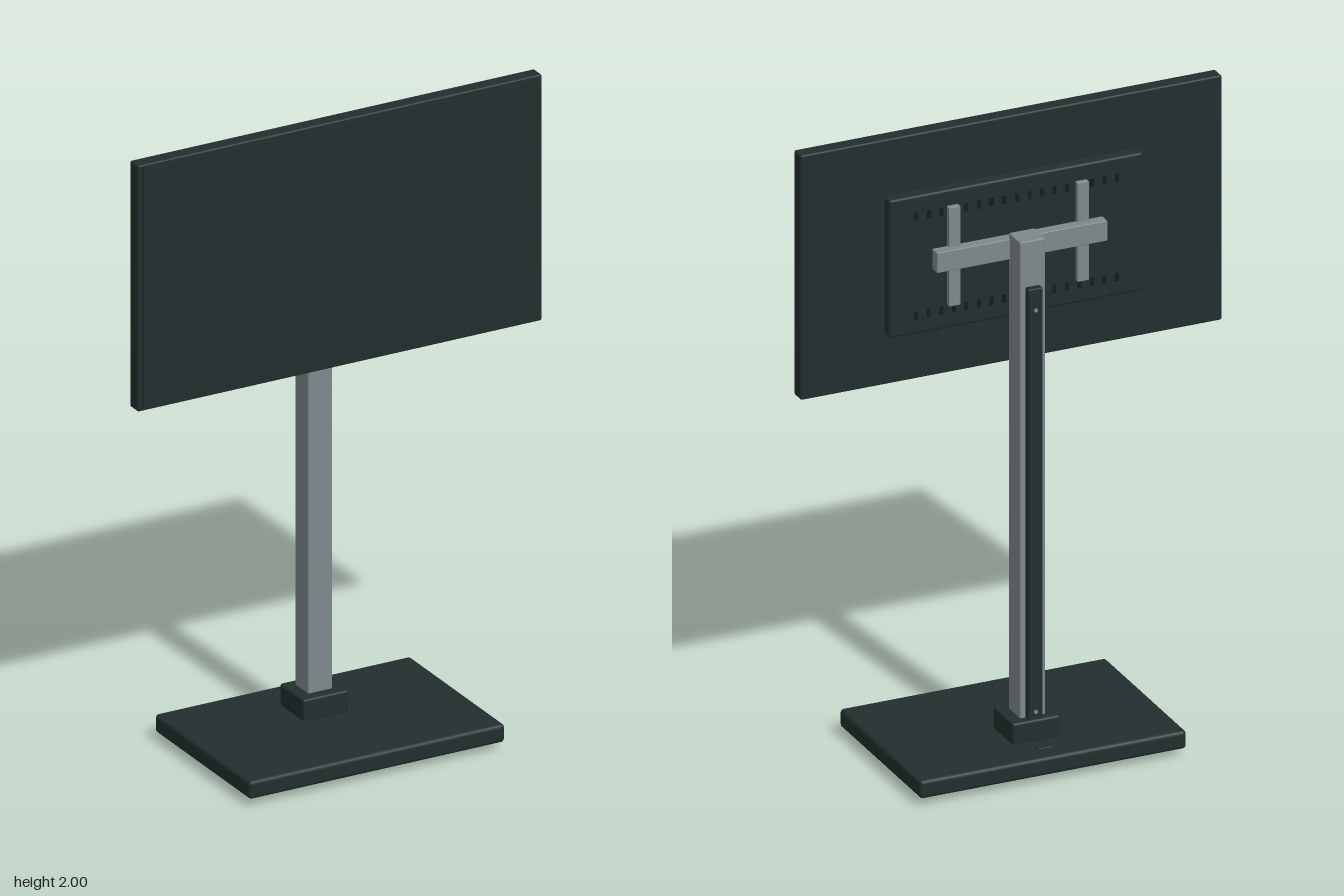
import * as THREE from 'three';
import { RoundedBoxGeometry } from 'three/addons/geometries/RoundedBoxGeometry.js';

const material = (name, color) => new THREE.MeshStandardMaterial({ name, color });

export function createModel() {
  const stand = new THREE.Group();
  stand.name = 'displayStand';
  const dark = material('charcoal plastic', 0x232e2e);
  const screenBlack = material('screen black', 0x212c2d);
  const steel = material('grey steel', 0x80888c);
  const black = material('vent black', 0x151c1c);

  // Box given by its extents; radius rounds the edges
  function block(name, mat, [x0, x1], [y0, y1], [z0, z1], radius = 0) {
    const size = [x1 - x0, y1 - y0, z1 - z0];
    const geometry = radius
      ? new RoundedBoxGeometry(...size, 3, radius)
      : new THREE.BoxGeometry(...size);
    const mesh = new THREE.Mesh(geometry, mat);
    mesh.name = name;
    mesh.position.set((x0 + x1) / 2, (y0 + y1) / 2, (z0 + z1) / 2);
    stand.add(mesh);
    return mesh;
  }

  // Base plate with four feet
  block('basePlate', dark, [-0.425, 0.425], [0.022, 0.08], [-0.282, 0.282], 0.012);
  for (const sx of [-1, 1]) {
    for (const sz of [-1, 1]) {
      const foot = block('foot', dark, [-0.048, 0.048], [0, 0.026], [-0.042, 0.042], 0.004);
      foot.position.x = sx * 0.31;
      foot.position.z = sz * 0.188;
    }
  }

  // Cable outlet behind the column
  block('cableOutlet', dark, [-0.025, 0.025], [0.078, 0.085], [-0.228, -0.192], 0.003);

  // Collar, column and rear cable cover
  block('collar', dark, [-0.076, 0.076], [0.075, 0.147], [-0.163, -0.021], 0.008);
  block('column', steel, [-0.04, 0.04], [0.1, 1.663], [-0.135, -0.056], 0.004);
  block('cableCover', dark, [-0.023, 0.023], [0.14, 1.518], [-0.157, -0.13], 0.004);
  for (const y of [0.17, 1.45]) {
    const screw = new THREE.Mesh(new THREE.CylinderGeometry(0.006, 0.006, 0.004, 16), steel);
    screw.name = 'coverScrew';
    screw.rotation.x = Math.PI / 2;
    screw.position.set(0, y, -0.158);
    stand.add(screw);
  }

  // Display: cabinet, front panel and raised rear housing
  block('displayCabinet', dark, [-0.672, 0.672], [1.22, 2], [0.012, 0.06], 0.006);
  block('screenPanel', screenBlack, [-0.657, 0.657], [1.235, 1.985], [0.058, 0.066]);
  block('rearHousing', dark, [-0.405, 0.405], [1.38, 1.82], [-0.024, 0.02], 0.008);

  // Two rows of vent slots
  for (const y of [1.44, 1.755]) {
    for (let i = -8; i <= 8; i++) {
      const x = i * 0.04;
      block('ventSlot', black, [x - 0.006, x + 0.006], [y - 0.013, y + 0.013], [-0.026, -0.02]);
    }
  }

  // Wall-bracket rails with screws, joined by a cross bar
  for (const side of [-1, 1]) {
    const x = side * 0.205;
    block('mountRail', steel, [x - 0.018, x + 0.018], [1.455, 1.77], [-0.041, -0.022], 0.002);
    for (const y of [1.48, 1.745]) {
      const screw = new THREE.Mesh(new THREE.CylinderGeometry(0.008, 0.008, 0.005, 16), steel);
      screw.name = 'railScrew';
      screw.rotation.x = Math.PI / 2;
      screw.position.set(x, y, -0.042);
      stand.add(screw);
    }
  }
  block('crossBar', steel, [-0.272, 0.272], [1.58, 1.645], [-0.064, -0.028], 0.003);

  return stand;
}
